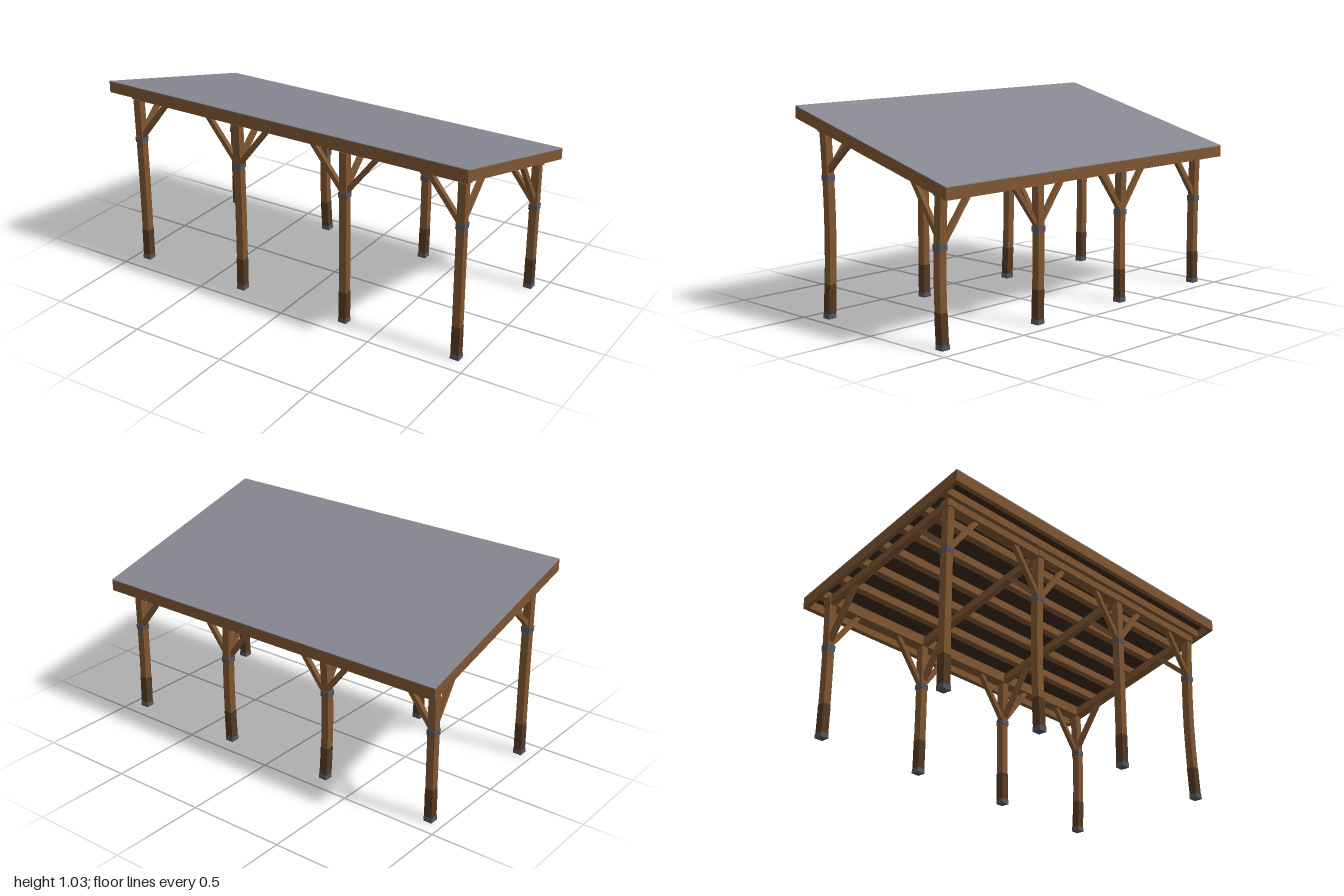
import * as THREE from 'three';

const SLOPE = 0.269, RIDGE = 0.89; // roof plane: y = RIDGE + SLOPE * z

export function createModel() {
  const model = new THREE.Group();
  const material = (name, color) => {
    const m = new THREE.MeshStandardMaterial({ color });
    m.name = name;
    return m;
  };
  const wood = material('wood', 0x7d5530);
  const darkWood = material('dark wood', 0x513922);
  const deckWood = material('deck underside', 0x38281a);
  const roofing = material('grey roofing', 0x878792);
  const metal = material('metal', 0x55565e);

  const add = (name, geometry, mat, parent = model) => {
    const mesh = new THREE.Mesh(geometry, mat);
    mesh.name = name;
    parent.add(mesh);
    return mesh;
  };

  // Box sheared along the roof pitch; top and bottom are offsets from the roof plane
  const pitched = (name, mat, width, depth, x, z, top, bottom) => {
    const g = new THREE.BoxGeometry(width, top - bottom, depth);
    g.translate(x, (top + bottom) / 2, z);
    const p = g.attributes.position;
    for (let i = 0; i < p.count; i++) p.setY(i, p.getY(i) + RIDGE + SLOPE * p.getZ(i));
    g.computeVertexNormals();
    return add(name, g, mat);
  };

  // Roof sheet, deck and fascia
  pitched('roofSheet', roofing, 2, 1.04, 0, 0, 0, -0.004);
  pitched('roofDeck', deckWood, 1.96, 1.0, 0, 0, -0.004, -0.016);
  for (const s of [-1, 1]) {
    pitched('endFascia', wood, 2, 0.02, 0, s * 0.51, -0.004, -0.06);
    pitched('sideFascia', wood, 0.02, 1.0, s * 0.99, 0, -0.004, -0.06);
  }

  // Purlins run the length of the roof
  for (let i = 0; i < 7; i++) {
    pitched('purlin', wood, 1.96, 0.03, 0, -0.42 + i * 0.14, -0.016, -0.056);
  }

  // Wood strut between two points
  const brace = (a, b, parent) => {
    const from = new THREE.Vector3(...a), to = new THREE.Vector3(...b);
    const dir = to.clone().sub(from);
    const mesh = add('brace', new THREE.BoxGeometry(0.024, dir.length(), 0.024), wood, parent);
    mesh.position.copy(from).add(to).multiplyScalar(0.5);
    mesh.quaternion.setFromUnitVectors(new THREE.Vector3(0, 1, 0), dir.normalize());
  };

  // Section of a post that bows gently along its height
  const bowAt = (y, height) => Math.sin(Math.PI * y / height);
  const postSection = (name, mat, y0, y1, size, height, bow, parent) => {
    const g = new THREE.BoxGeometry(size, y1 - y0, size, 1, 6, 1);
    g.translate(0, (y0 + y1) / 2, 0);
    const p = g.attributes.position;
    for (let i = 0; i < p.count; i++) {
      const k = bowAt(p.getY(i), height);
      p.setX(i, p.getX(i) + bow[0] * k);
      p.setZ(i, p.getZ(i) + bow[1] * k);
    }
    g.computeVertexNormals();
    add(name, g, mat, parent);
  };

  const xs = [-0.925, -0.307, 0.305, 0.922];
  const rows = [
    { z: 0.395, band: 0.688, foot: 0.715, bows: [[0, -0.004], [-0.004, -0.01], [0.001, 0], [-0.006, -0.012]] },
    { z: -0.405, band: 0.462, foot: 0.495, bows: [[0.002, 0.004], [-0.006, 0.01], [0.002, -0.006], [0.004, 0.008]] },
  ];

  for (const { z, band, foot, bows } of rows) {
    // Eave beam over the row of posts
    pitched('eaveBeam', wood, 1.9, 0.045, 0, z, -0.05, -0.092);
    const top = RIDGE + SLOPE * z - 0.09;
    xs.forEach((x, i) => {
      const post = new THREE.Group();
      post.name = 'post';
      post.position.set(x, 0, z);
      model.add(post);
      const bow = bows[i];
      add('postShoe', new THREE.BoxGeometry(0.045, 0.024, 0.045), metal, post).position.y = 0.012;
      postSection('postBase', darkWood, 0.024, 0.17, 0.042, top, bow, post);
      postSection('postShaft', wood, 0.17, top, 0.04, top, bow, post);
      const k = bowAt(band, top);
      add('postBand', new THREE.BoxGeometry(0.046, 0.028, 0.046), metal, post)
        .position.set(bow[0] * k, band, bow[1] * k);

      // Braces along the eave beam, only towards neighbouring posts
      for (const s of [-1, 1]) {
        if (i + s < 0 || i + s >= xs.length) continue;
        brace([s * 0.01, foot - 0.012, 0], [s * 0.175, top + 0.005, 0], post);
      }
      // Brace towards the middle, under the rafter
      const inward = -Math.sign(z);
      const reach = inward * 0.18;
      brace([0, foot, inward * 0.01], [0, top + SLOPE * reach + 0.008, reach], post);
    });
  }

  // Rafters on the post lines
  for (const x of xs) pitched('rafter', wood, 0.035, 0.85, x, -0.005, -0.05, -0.09);

  return model;
}
